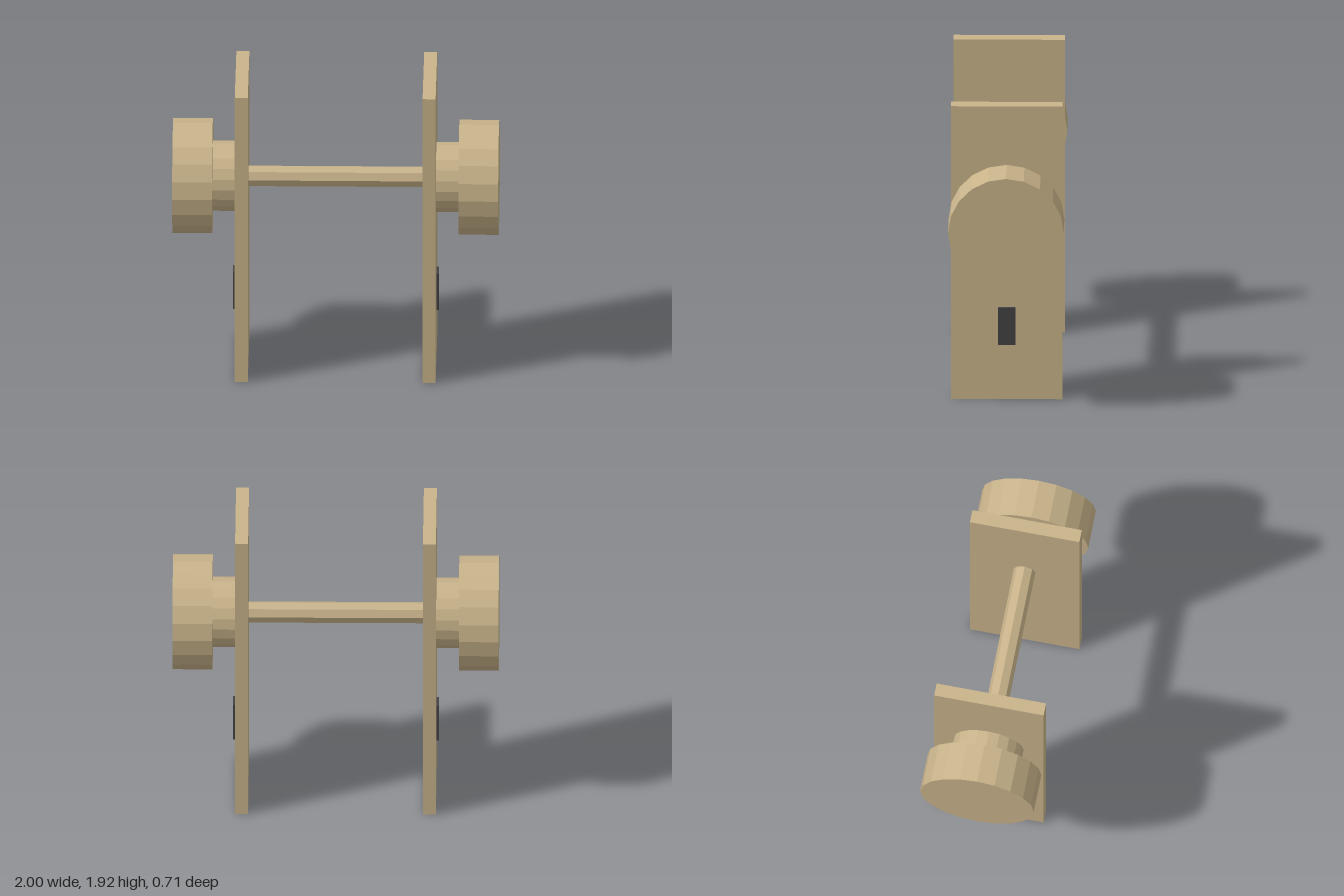
import * as THREE from 'three';

const AXIS_Y = 1.235; // height of the spindle and knobs

export function createModel() {
  const brass = new THREE.MeshStandardMaterial({ color: 0xc8b38a });
  brass.name = 'brass';
  brass.flatShading = true;
  const dark = new THREE.MeshStandardMaterial({ color: 0x424244 });
  dark.name = 'keyholeDark';
  dark.flatShading = true;

  const model = new THREE.Group();
  model.name = 'doorKnobSet';

  const add = (parent, name, geometry, material, x, y) => {
    const mesh = new THREE.Mesh(geometry, material);
    mesh.name = name;
    mesh.position.set(x, y, 0);
    parent.add(mesh);
  };

  // Faceted cylinder lying along x
  const rod = (radius, length, sides) =>
    new THREE.CylinderGeometry(radius, radius, length, sides).rotateZ(Math.PI / 2);

  // Spindle joining the two plates
  add(model, 'spindle', rod(0.067, 1.08, 8), brass, 0, AXIS_Y);

  // Matching plate, neck, knob and keyhole on each side
  for (const [name, s] of [['left', 1], ['right', -1]]) {
    const side = new THREE.Group();
    side.name = name + 'Handle';
    add(side, 'plate', new THREE.BoxGeometry(0.08, 1.92, 0.684), brass, s * 0.576, 0.96);
    add(side, 'neck', rod(0.217, 0.15, 20), brass, s * 0.685, AXIS_Y);
    add(side, 'knob', rod(0.355, 0.244, 20), brass, s * 0.878, AXIS_Y);
    add(side, 'keyhole', new THREE.BoxGeometry(0.03, 0.245, 0.108), dark, s * 0.616, 0.482);
    model.add(side);
  }

  return model;
}
